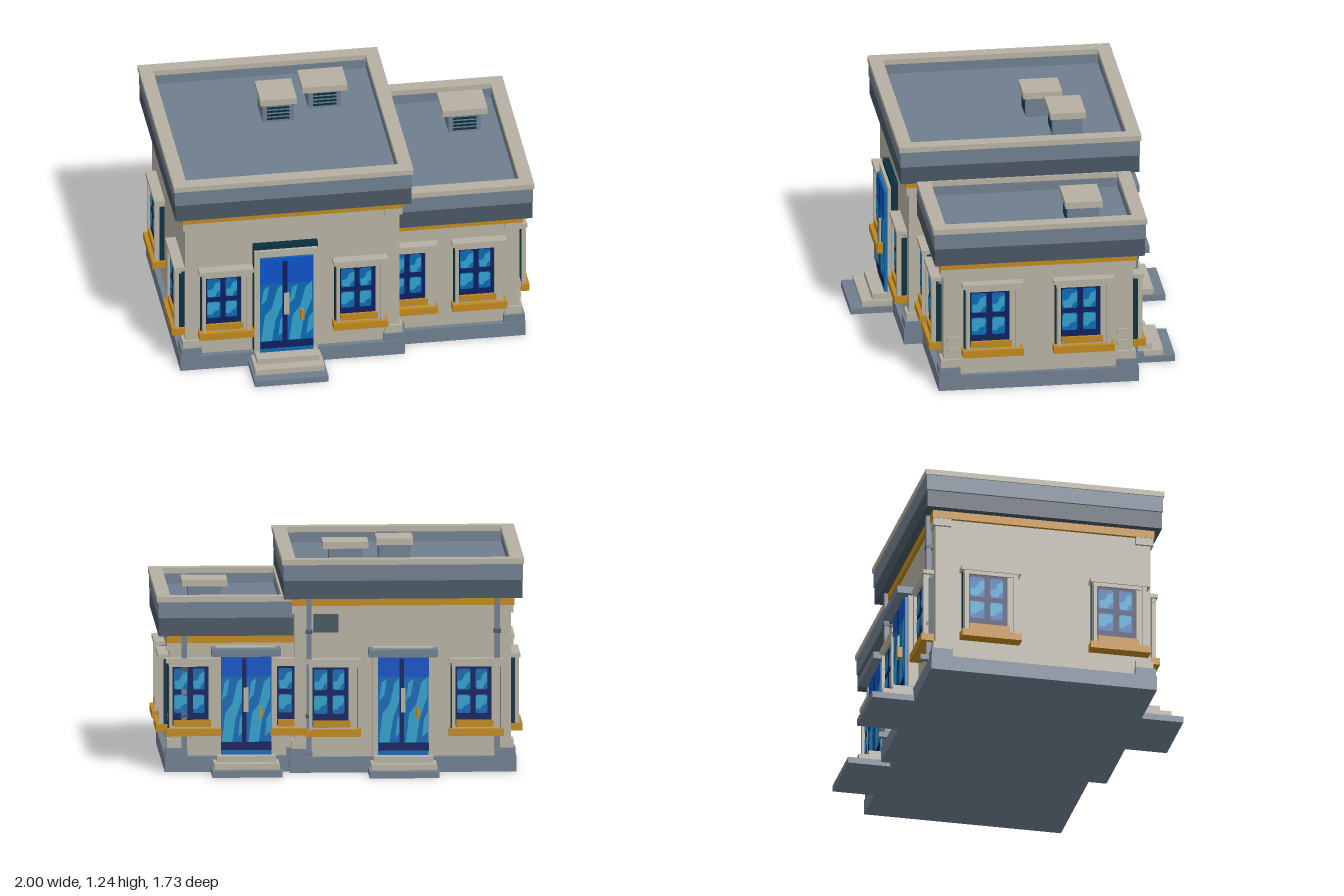
import * as THREE from 'three';

const mat = (name, color) => Object.assign(new THREE.MeshStandardMaterial({ color }), { name });

export function createModel() {
  const stone = mat('stone', 0xb5b0a2), slate = mat('slate', 0x6f7e8f), dark = mat('dark slate', 0x485562);
  const gold = mat('gold', 0xc0871c), teal = mat('deep teal', 0x0a3040), navy = mat('navy', 0x0c1f5e);
  const blue = mat('glass blue', 0x0c68b2), cyan = mat('glass highlight', 0x30a0cc), royal = mat('royal blue', 0x0d52c4);
  const root = new THREE.Group();

  const box = (g, name, m, x0, x1, y0, y1, z0, z1) => {
    const mesh = new THREE.Mesh(new THREE.BoxGeometry(x1 - x0, y1 - y0, z1 - z0), m);
    mesh.position.set((x0 + x1) / 2, (y0 + y1) / 2, (z0 + z1) / 2);
    mesh.name = name;
    g.add(mesh);
    return mesh;
  };
  // flat painted shape facing +z
  const plate = (g, name, m, pts, z) => {
    const shape = new THREE.Shape(pts.map(p => new THREE.Vector2(p[0], p[1])));
    const mesh = new THREE.Mesh(new THREE.ShapeGeometry(shape), m);
    mesh.position.z = z;
    mesh.name = name;
    g.add(mesh);
  };
  // hollow rectangular rim lying flat
  const rim = (g, name, m, x0, x1, z0, z1, t, y0, y1) => {
    const rect = (C, d) => {
      const s = new C();
      s.moveTo(x0 + d, -z0 - d).lineTo(x0 + d, -z1 + d);
      s.lineTo(x1 - d, -z1 + d).lineTo(x1 - d, -z0 - d).closePath();
      return s;
    };
    const s = rectShape(rect, t);
    const geo = new THREE.ExtrudeGeometry(s, { depth: y1 - y0, bevelEnabled: false });
    geo.rotateX(-Math.PI / 2);
    const mesh = new THREE.Mesh(geo, m);
    mesh.position.y = y0;
    mesh.name = name;
    g.add(mesh);
  };

  // One building volume: plinth, walls, corner blocks, cornice, parapet
  const block = (name, x0, x1, z0, z1, top, roof) => {
    const g = new THREE.Group();
    g.name = name;
    const [rx0, rx1, rz0, rz1] = roof, y = top;
    box(g, 'plinth', slate, x0 - 0.03, x1 + 0.028, 0, 0.085, z0 - 0.03, z1 + 0.03);
    box(g, 'walls', stone, x0, x1, 0.085, y - 0.22, z0, z1);
    box(g, 'goldTrim', gold, x0 - 0.018, x1 + 0.018, y - 0.262, y - 0.218, z0 - 0.018, z1 + 0.018);
    for (const sx of [0, 1]) for (const sz of [0, 1]) {
      const corner = (n, m, size, out, ya, yb) => box(g, n, m,
        sx ? x1 - size : x0 - out, sx ? x1 + out : x0 + size, ya, yb,
        sz ? z1 - size : z0 - out, sz ? z1 + out : z0 + size);
      corner('cornerFoot', slate, 0.09, 0.025, 0.08, 0.13);
      corner('cornerBase', stone, 0.085, 0.015, 0.13, 0.175);
      corner('cornerCapital', stone, 0.085, 0.015, y - 0.305, y - 0.26);
    }
    box(g, 'lowerFascia', dark, rx0 + 0.01, rx1 - 0.01, y - 0.218, y - 0.122, rz0 + 0.01, rz1 - 0.01);
    box(g, 'roofDeck', slate, rx0 + 0.007, rx1 - 0.007, y - 0.118, y - 0.085, rz0 + 0.007, rz1 - 0.007);
    box(g, 'fasciaGroove', dark, rx0 + 0.02, rx1 - 0.02, y - 0.122, y - 0.118, rz0 + 0.02, rz1 - 0.02);
    rim(g, 'upperFascia', slate, rx0 + 0.007, rx1 - 0.007, rz0 + 0.007, rz1 - 0.007, 0.066, y - 0.085, y - 0.03);
    rim(g, 'parapetCap', stone, rx0, rx1, rz0, rz1, 0.075, y - 0.03, y);
    root.add(g);
  };
  block('mainHall', -0.93, 0.25, -0.6, 0.6, 1.178, [-1, 0.32, -0.67, 0.662]);
  block('sideWing', 0.2, 0.928, -0.54, 0.5, 0.97, [0.245, 1, -0.61, 0.565]);

  // Groups on a wall: local x runs along the wall, +z points outward
  const onWall = (name, x, z, ry, k) => {
    const g = new THREE.Group();
    g.name = name;
    g.position.set(x, 0, z);
    g.rotation.y = ry;
    g.scale.x = k;
    root.add(g);
    return g;
  };

  const addWindow = (x, z, ry, k = 0.9) => {
    const g = onWall('window', x, z, ry, k);
    box(g, 'shadowFrame', teal, -0.155, 0.15, 0.24, 0.612, 0, 0.028);
    box(g, 'leftJamb', stone, -0.147, -0.127, 0.24, 0.6, 0, 0.052);
    box(g, 'rightJamb', stone, 0.092, 0.125, 0.24, 0.6, 0, 0.045);
    box(g, 'rightPilaster', stone, 0.122, 0.147, 0.24, 0.6, 0, 0.055);
    box(g, 'header', stone, -0.15, 0.15, 0.582, 0.605, 0, 0.052);
    box(g, 'lintel', stone, -0.166, 0.166, 0.603, 0.626, 0, 0.058);
    box(g, 'sill', gold, -0.167, 0.167, 0.202, 0.242, 0, 0.07);
    box(g, 'innerSill', gold, -0.122, 0.105, 0.25, 0.288, 0, 0.05);
    box(g, 'bottomRail', stone, -0.14, 0.14, 0.24, 0.255, 0, 0.045);
    box(g, 'pane', navy, -0.122, 0.093, 0.285, 0.582, 0, 0.036);
    for (const cx of [-0.118, -0.004]) for (const cy of [0.325, 0.455]) {
      const w = cx < -0.05 ? 0.083 : 0.072, h = cy > 0.4 ? 0.115 : 0.102;
      const cut = pts => pts.map(([u, v]) => [cx + u * w, cy + v * h]);
      plate(g, 'glassCell', blue, cut([[0.08, 0], [0.92, 0], [1, 0.1], [1, 0.9], [0.92, 1], [0.08, 1], [0, 0.9], [0, 0.1]]), 0.038);
      plate(g, 'glassHighlight', cyan, cut(cy > 0.4
        ? [[0.1, 0.04], [0.6, 0.04], [0.75, 0.25], [0.97, 0.35], [0.97, 0.85], [0.6, 0.75], [0.4, 0.45], [0.03, 0.4]]
        : [[0.03, 0.25], [0.35, 0.2], [0.55, 0.4], [0.9, 0.5], [0.97, 0.9], [0.7, 0.97], [0.1, 0.97], [0.03, 0.85]]), 0.04);
    }
  };
  // front, back, right and left windows
  for (const x of [-0.71, 0.03]) addWindow(x, 0.6, 0);
  for (const x of [0.32, 0.7]) addWindow(x, 0.5, 0);
  for (const x of [-0.74, 0.04]) addWindow(x, -0.6, Math.PI);
  for (const x of [0.23, 0.8]) addWindow(x, -0.54, Math.PI);
  for (const z of [0.235, -0.265]) addWindow(0.928, z, Math.PI / 2, 1);
  for (const z of [-0.3, 0.42]) addWindow(-0.93, z, -Math.PI / 2, 1);

  const addDoor = (x, z, ry, k, canopy) => {
    const g = onWall('doorway', x, z, ry, k);
    const top = canopy ? 0.65 : 0.69;
    box(g, 'doorFrame', stone, -0.175, 0.175, 0.1, top + 0.04, 0, 0.055);
    if (canopy) box(g, 'canopy', slate, -0.2, 0.2, 0.645, 0.685, 0, 0.122);
    else box(g, 'shadowFrame', teal, -0.178, 0.178, 0.1, 0.755, 0, 0.038);
    box(g, 'doorLeaves', blue, -0.145, 0.148, 0.1, top, 0, 0.07);
    const rect = (a, b, c, d) => [[a, c], [b, c], [b, d], [a, d]];
    plate(g, 'upperGlass', royal, rect(-0.145, 0.148, 0.53, top), 0.072);
    plate(g, 'kickPlate', navy, rect(-0.145, 0.148, 0.125, 0.17), 0.073);
    for (const s of [-0.14, 0.015]) {
      plate(g, 'glassStreak', cyan, [[s, 0.17], [s + 0.06, 0.17], [s + 0.08, 0.3], [s + 0.125, 0.42], [s + 0.125, 0.53],
        [s + 0.09, 0.5], [s + 0.06, 0.38], [s + 0.02, 0.33]], 0.072);
      plate(g, 'glassStreak', cyan, [[s + 0.095, 0.2], [s + 0.13, 0.23], [s + 0.13, 0.34], [s + 0.105, 0.3]], 0.072);
      plate(g, 'glassStreak', cyan, [[s, 0.4], [s + 0.03, 0.43], [s + 0.045, 0.52], [s + 0.015, 0.5]], 0.072);
    }
    plate(g, 'centreGap', navy, rect(-0.022, 0.004, 0.17, top - 0.02), 0.074);
    box(g, 'pullHandle', stone, -0.014, 0.014, 0.335, 0.47, 0.07, 0.08);
    box(g, 'lockBox', gold, 0.075, 0.095, 0.305, 0.365, 0.07, 0.1);
    // entrance steps
    box(g, 'bottomStep', slate, -0.203, 0.203, 0, 0.035, 0, 0.263);
    box(g, 'middleStep', stone, -0.19, 0.19, 0.035, 0.067, 0, 0.2);
    box(g, 'topStep', stone, -0.172, 0.172, 0.067, 0.1, 0, 0.14);
  };
  addDoor(-0.382, 0.6, 0, 1, false);
  addDoor(-0.34, -0.6, Math.PI, 0.94, true);
  addDoor(0.515, -0.54, Math.PI, 0.94, true);

  // Loose bricks on the wing's outer wall
  for (const z of [0.452, -0.485]) for (const y of [0.21, 0.275])
    box(root, 'wallBrick', stone, 0.92, 0.94, y, y + 0.03, z - 0.029, z + 0.029);

  // Drainpipes with outlets and a wall panel at the back
  for (const [x, z, y] of [[-0.855, -0.6, 0.965], [0.172, -0.6, 0.965], [0.85, -0.54, 0.76]]) {
    box(root, 'drainpipe', slate, x - 0.014, x + 0.014, 0.1, y, z - 0.038, z - 0.01);
    box(root, 'drainOutlet', slate, x - 0.016, x + 0.016, 0.095, 0.125, z - 0.07, z - 0.01);
    for (const h of [0.3, y - 0.2]) box(root, 'pipeBracket', dark, x - 0.019, x + 0.019, h, h + 0.02, z - 0.041, z);
  }
  box(root, 'servicePanel', dark, 0.01, 0.145, 0.77, 0.87, -0.612, -0.59);

  // Rooftop ventilation units: cap extents, roof level, cap top, body inset
  for (const [x0, x1, z0, z1, floor, top, inset] of [
    [-0.41, -0.21, -0.305, -0.09, 1.09, 1.24, 0.014],
    [-0.162, 0.086, -0.395, -0.2, 1.09, 1.235, 0.035],
    [0.607, 0.855, -0.385, -0.18, 0.88, 1.03, 0.035]]) {
    const g = new THREE.Group();
    g.name = 'roofVent';
    const zf = z1 - 0.015;
    box(g, 'ventBody', slate, x0 + inset, x1 - inset, floor, top - 0.035, z0 + 0.015, zf);
    box(g, 'ventCap', stone, x0, x1, top - 0.037, top, z0, z1);
    for (let i = 0; i < 4; i++) {
      const y = floor + 0.018 + i * 0.022;
      box(g, 'ventSlot', teal, x0 + inset + 0.025, x1 - inset - 0.025, y, y + 0.011, zf - 0.004, zf + 0.004);
    }
    root.add(g);
  }
  return root;
}

// Outer rectangle with an inset rectangular hole
function rectShape(rect, t) {
  const s = rect(THREE.Shape, 0);
  s.holes.push(rect(THREE.Path, t));
  return s;
}
